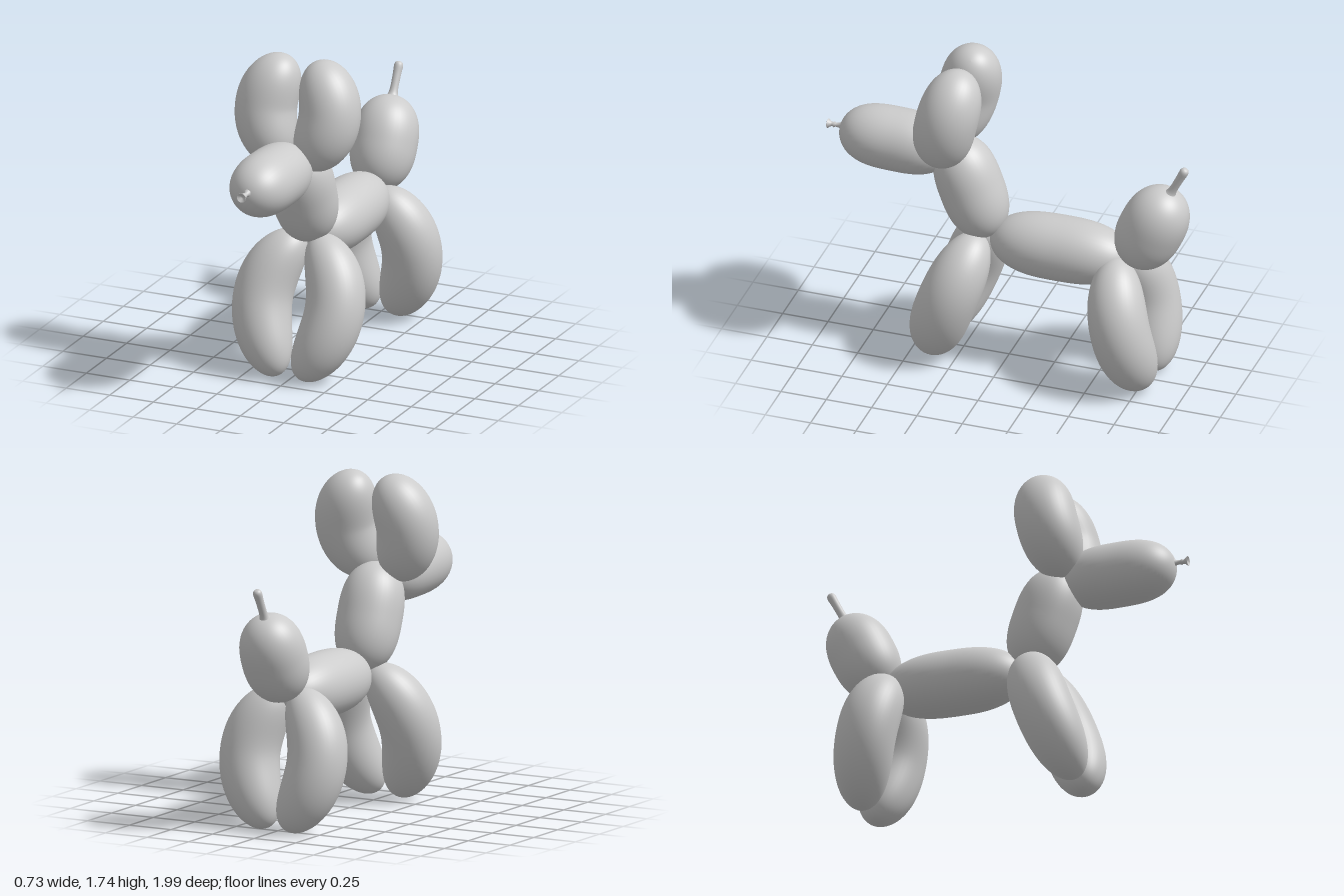
import * as THREE from 'three';

const material = new THREE.MeshStandardMaterial({ color: 0xcccccc });
const RINGS = 48, SIDES = 40;

// Inflated segment: circles swept along a bent axis from start to end through mid,
// swelling to `radius` and closing in a rounded cap at each end.
function balloonGeometry(start, mid, end, radius, fullness) {
  const a = new THREE.Vector3(...start), b = new THREE.Vector3(...end);
  const control = new THREE.Vector3(...mid).multiplyScalar(2)
    .addScaledVector(a, -0.5).addScaledVector(b, -0.5);
  const curve = new THREE.QuadraticBezierCurve3(a, control, b);
  const side = new THREE.Vector3(), up = new THREE.Vector3();
  const reference = curve.getTangent(0.5).cross(new THREE.Vector3(1, 0, 0)).normalize();
  const positions = [], index = [];
  for (let i = 0; i <= RINGS; i++) {
    const s = -Math.cos((Math.PI * i) / RINGS); // rings crowd toward the caps
    const t = (s + 1) / 2;
    const r = Math.max(radius * Math.sqrt(Math.max(0, 1 - Math.abs(s) ** fullness)), 1e-4);
    const centre = curve.getPointAt(t), tangent = curve.getTangentAt(t);
    side.crossVectors(reference, tangent).normalize();
    up.crossVectors(tangent, side);
    for (let j = 0; j < SIDES; j++) {
      const angle = (2 * Math.PI * j) / SIDES;
      const p = centre.clone()
        .addScaledVector(side, r * Math.cos(angle))
        .addScaledVector(up, r * Math.sin(angle));
      positions.push(p.x, p.y, p.z);
      if (i < RINGS) {
        const k = i * SIDES + j, n = i * SIDES + ((j + 1) % SIDES);
        index.push(k, n, k + SIDES, n, n + SIDES, k + SIDES);
      }
    }
  }
  const geometry = new THREE.BufferGeometry();
  geometry.setAttribute('position', new THREE.Float32BufferAttribute(positions, 3));
  geometry.setIndex(index);
  geometry.computeVertexNormals();
  return geometry;
}

export function createModel() {
  const model = new THREE.Group();

  function add(name, geometry, mat = material) {
    const mesh = new THREE.Mesh(geometry, mat);
    mesh.name = name;
    model.add(mesh);
    return mesh;
  }

  // Straight segment in the middle plane, given as [y, z] ends
  function segment(name, [y0, z0], [y1, z1], radius, fullness) {
    add(name, balloonGeometry([0, y0, z0], [0, (y0 + y1) / 2, (z0 + z1) / 2], [0, y1, z1], radius, fullness));
  }

  // Left and right bowed segments; skew shifts the two apart along z
  function pair(name, start, mid, end, radius, fullness, skew = 0) {
    for (const [label, sign] of [['left', 1], ['right', -1]]) {
      const place = ([x, y, z]) => [x * sign, y, z + skew * sign];
      add(label + name, balloonGeometry(place(start), place(mid), place(end), radius, fullness));
    }
  }

  segment('snout', [1.19, 0.31], [1.21, 0.93], 0.17, 3);
  segment('neck', [0.72, 0.11], [1.27, 0.31], 0.172, 2.8);
  segment('body', [0.715, 0.1], [0.715, -0.67], 0.175, 2.8);
  segment('tail', [0.71, -0.68], [1.17, -0.895], 0.175, 2.5);

  pair('Ear', [0.05, 1.21, 0.35], [0.183, 1.47, 0.285], [0.05, 1.72, 0.23], 0.163, 2.7);
  pair('FrontLeg', [0.03, 0.735, 0.15], [0.207, 0.41, 0.27], [0.05, 0.04, 0.405], 0.157, 2.7);
  pair('BackLeg', [0.03, 0.735, -0.62], [0.207, 0.41, -0.69], [0.05, 0.035, -0.765], 0.158, 2.7, 0.01);

  // Uninflated tip of the tail: a thin tapered tube with a rounded end
  const nibProfile = new THREE.SplineCurve([
    [0.055, 0], [0.032, 0.025], [0.022, 0.06], [0.022, 0.14], [0.024, 0.19], [0.015, 0.208], [0.001, 0.212],
  ].map(([x, y]) => new THREE.Vector2(x, y)));
  const nib = add('tailTip', new THREE.LatheGeometry(nibProfile.getPoints(32), 24));
  nib.position.set(0, 1.14, -0.877);
  nib.rotation.x = -0.48;

  // Tied neck at the nose: pinched stem, small bead and flared lip
  const knotProfile = [
    [0.03, -0.015], [0.013, 0.005], [0.011, 0.025], [0.016, 0.033], [0.011, 0.042],
    [0.014, 0.052], [0.026, 0.068], [0.024, 0.07], [0.008, 0.056], [0, 0.055],
  ].map(([x, y]) => new THREE.Vector2(x, y));
  const knotMaterial = material.clone();
  knotMaterial.side = THREE.DoubleSide;
  const knot = add('noseKnot', new THREE.LatheGeometry(knotProfile, 20), knotMaterial);
  knot.position.set(0.005, 1.224, 0.93);
  knot.rotation.x = Math.PI / 2;

  return model;
}
